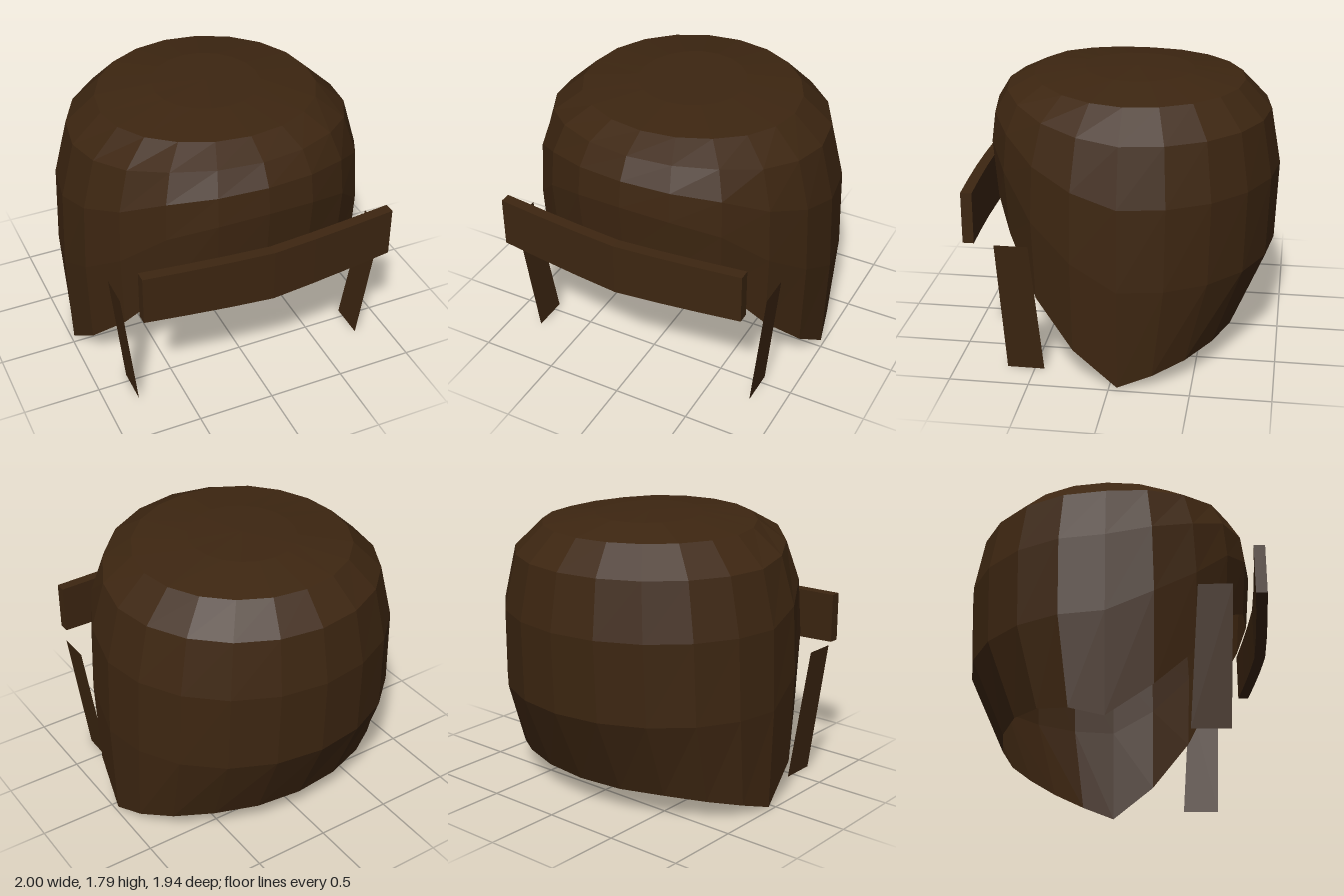
import * as THREE from 'three';

const hair = new THREE.MeshStandardMaterial({ color: 0x3d2611, flatShading: true, side: THREE.DoubleSide });
hair.name = 'dark brown';

const SIDES = 20;
const CENTRE_Z = -0.05;
// share of the front lift at 0, 18, 36, 54, 72 and 90 degrees from the front
const LIFT = [1, 0.95, 0.81, 0.48, 0.21, 0];
// height gained by the hem from the side round to the back
const HEM_BACK = [0, 0.07, 0.12, 0.15, 0.15, 0.15];

// side height, half width, back z, front z, front height (hem first)
const RINGS = [
  [0.01, 0.98, -0.73, 0.855, 1.02],
  [0.66, 1.0, -0.95, 0.885, 1.38],
  [1.18, 0.98, -0.97, 0.86, 1.55],
  [1.54, 0.89, -0.905, 0.78, 1.68],
  [1.72, 0.7, -0.735, 0.61, 1.76],
  [1.775, 0.34, -0.41, 0.29, 1.785],
  [1.787, 0, CENTRE_Z, CENTRE_Z, 1.787],
];

// surface through rows of points of equal length
function loft(rows, closed) {
  const n = rows[0].length, pos = [], index = [];
  rows.forEach(row => row.forEach(p => pos.push(...p)));
  for (let r = 0; r < rows.length - 1; r++) {
    for (let i = 0; i < (closed ? n : n - 1); i++) {
      const a = r * n + i, b = r * n + (i + 1) % n;
      index.push(a, b, b + n, a, b + n, a + n);
    }
  }
  const g = new THREE.BufferGeometry();
  g.setAttribute('position', new THREE.Float32BufferAttribute(pos, 3));
  g.setIndex(index);
  g.computeVertexNormals();
  return g;
}

function addMesh(group, name, geometry) {
  const mesh = new THREE.Mesh(geometry, hair);
  mesh.name = name;
  group.add(mesh);
}

function ringPoints([y, rx, back, front, frontY], r) {
  return Array.from({ length: SIDES }, (_, i) => {
    const a = i / SIDES * Math.PI * 2, c = Math.cos(a);
    const step = Math.min(i, SIDES - i); // 0 at the front, 10 at the back
    let h = y;
    if (step < 5) h += (frontY - y) * LIFT[step];
    else if (r === 0) h += HEM_BACK[step - 5];
    const z = CENTRE_Z + c * (c > 0 ? front - CENTRE_Z : CENTRE_Z - back);
    return [Math.sin(a) * rx, h, z];
  });
}

export function createModel() {
  const group = new THREE.Group();
  group.name = 'hair';

  // open shell with an arched front, and the nearly flat crown
  const rows = RINGS.map(ringPoints);
  addMesh(group, 'hairShell', loft(rows.slice(0, 5), true));
  addMesh(group, 'crown', loft(rows.slice(4), true));

  // curved fringe bar in front of the forehead: four corners at each station
  const stations = [-3, -2, -1, 0, 1, 2, 3].map(k => {
    const t = Math.abs(k) / 3, x = k / 3 * 0.825;
    const z = 0.97 - 0.05 * Math.pow(t, 1.4);
    const low = 0.8 + 0.055 * t, high = 1.15 + 0.03 * t;
    return [[x, low, z], [x, low, z - 0.07], [x, high, z - 0.07], [x, high, z]];
  });
  addMesh(group, 'fringe', loft(stations, true));
  [stations[0], stations[6]].forEach((s, i) =>
    addMesh(group, i ? 'fringeEndLeft' : 'fringeEndRight',
      loft(i ? [[s[0], s[1]], [s[3], s[2]]] : [[s[1], s[0]], [s[2], s[3]]], false)));

  // thin side locks leaning outwards at the top
  for (const side of [1, -1]) {
    const lower = [[side * 0.79, 0, 0.675], [side * 0.79, 0, 0.44]];
    const upper = [[side * 0.895, 0.88, 0.71], [side * 0.895, 0.88, 0.5]];
    if (side < 0) { lower.reverse(); upper.reverse(); }
    addMesh(group, side > 0 ? 'sideLockLeft' : 'sideLockRight', loft([lower, upper], false));
  }
  return group;
}
